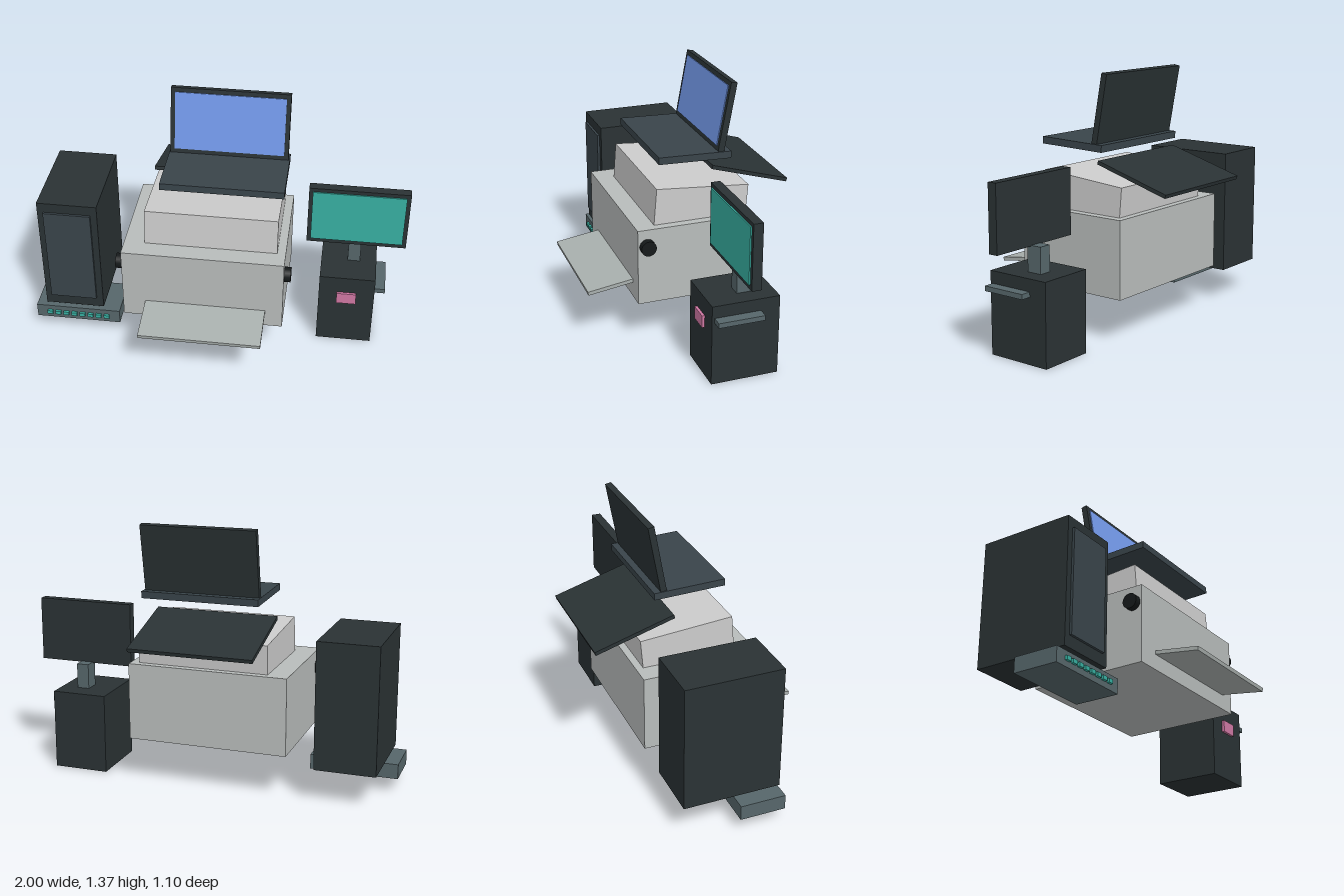
import * as THREE from 'three';

const mats = {};
const mat = (color) => (mats[color] ??= new THREE.MeshStandardMaterial({ color }));

const DARK = 0x2a3234, SLATE = 0x39444a, STEEL = 0x56666a, TEAL = 0x38b0a2;

// Box from its extents: [x0, x1], [y0, y1], [z0, z1]
function block(parent, name, color, [x0, x1], [y0, y1], [z0, z1]) {
  const m = new THREE.Mesh(new THREE.BoxGeometry(x1 - x0, y1 - y0, z1 - z0), mat(color));
  m.name = name;
  m.position.set((x0 + x1) / 2, (y0 + y1) / 2, (z0 + z1) / 2);
  parent.add(m);
  return m;
}

// Box spanning [x0, x1], centred at (y, z) and tipped about the x axis
function tilted(parent, name, color, [x0, x1], y, z, height, depth, angle) {
  const m = block(parent, name, color, [x0, x1], [y - height / 2, y + height / 2], [z - depth / 2, z + depth / 2]);
  m.rotation.x = angle;
  return m;
}

function section(parent, name) {
  const g = new THREE.Group();
  g.name = name;
  parent.add(g);
  return g;
}

export function createModel() {
  const model = new THREE.Group();
  model.name = 'officeEquipment';

  // Printer with sloping lid, two paper trays and side knobs
  const printer = section(model, 'printer');
  block(printer, 'printerBody', 0xb8bcbb, [-0.48, 0.375], [0.24, 0.65], [-0.333, 0.308]);
  tilted(printer, 'printerLid', 0xd2d5d4, [-0.37, 0.33], 0.724, -0.05, 0.2, 0.5, -0.08);
  tilted(printer, 'rearPaperTray', DARK, [-0.367, 0.289], 0.844, -0.333, 0.02, 0.438, -0.29);
  tilted(printer, 'frontPaperTray', 0xa9b0ae, [-0.36, 0.283], 0.317, 0.4, 0.02, 0.3, 0.145);
  for (const [name, x] of [['leftKnob', 0.382], ['rightKnob', -0.487]]) {
    const knob = new THREE.Mesh(new THREE.CylinderGeometry(0.04, 0.04, 0.055, 24), mat(0x15191a));
    knob.name = name;
    knob.rotation.z = Math.PI / 2;
    knob.position.set(x, 0.56, 0.259);
    printer.add(knob);
  }

  // Open laptop floating above the printer
  const laptop = section(model, 'laptop');
  tilted(laptop, 'laptopBase', SLATE, [-0.286, 0.354], 0.996, -0.006, 0.037, 0.385, -0.03);
  const lid = tilted(laptop, 'laptopLid', DARK, [-0.28, 0.346], 1.187, -0.178, 0.361, 0.033, -0.18);
  block(lid, 'laptopScreen', 0x7399ea, [-0.29, 0.29], [-0.157, 0.157], [0.0155, 0.0215]);

  // Tower computer
  const tower = section(model, 'towerComputer');
  block(tower, 'towerCase', DARK, [-0.94, -0.62], [0.18, 0.85], [-0.31, 0.203]);
  block(tower, 'towerFrontPanel', SLATE, [-0.907, -0.655], [0.242, 0.795], [0.2, 0.216]);

  // Low unit under the tower with a row of lit buttons
  const hub = section(model, 'switchBox');
  block(hub, 'switchBoxCase', STEEL, [-1, -0.532], [0.077, 0.156], [-0.033, 0.208]);
  for (let i = 0; i < 8; i++) {
    const x = -0.925 + i * 0.0457;
    block(hub, 'indicator' + (i + 1), TEAL, [x - 0.015, x + 0.015], [0.107, 0.128], [0.205, 0.222]);
  }

  // Terminal: pedestal, post, monitor, label and side shelf
  const terminal = section(model, 'terminal');
  block(terminal, 'pedestal', DARK, [0.555, 0.854], [0, 0.43], [-0.261, 0.093]);
  block(terminal, 'post', STEEL, [0.697, 0.764], [0.42, 0.565], [-0.153, -0.07]);
  block(terminal, 'monitor', DARK, [0.468, 1], [0.561, 0.905], [-0.094, -0.044]);
  block(terminal, 'monitorScreen', TEAL, [0.488, 0.979], [0.585, 0.884], [-0.046, -0.037]);
  block(terminal, 'pinkLabel', 0xd078a4, [0.652, 0.757], [0.268, 0.334], [0.09, 0.107]);
  block(terminal, 'sideShelf', STEEL, [0.84, 0.909], [0.34, 0.366], [-0.162, 0.08]);

  return model;
}
